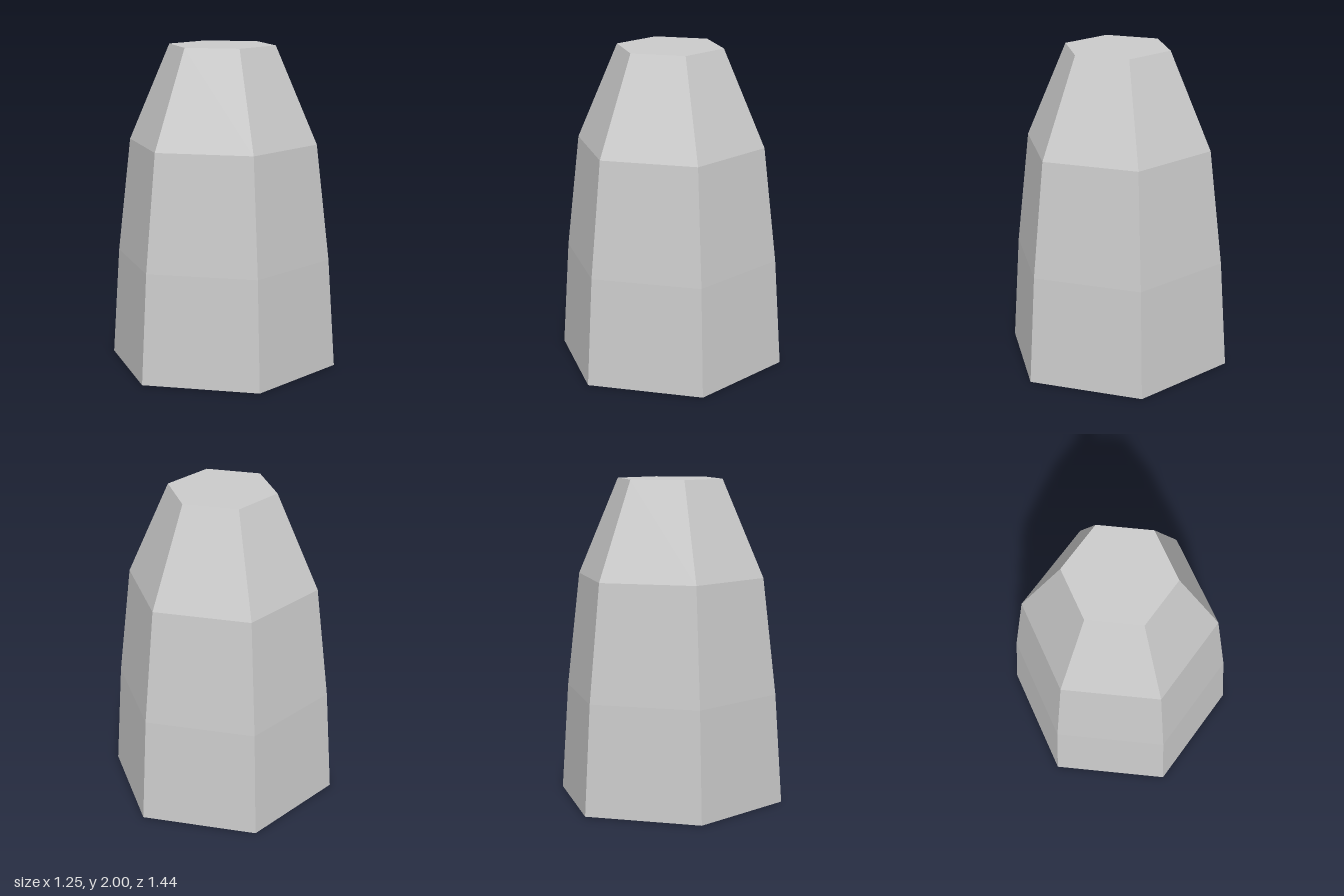
import * as THREE from 'three';

export function createModel() {
  const model = new THREE.Group();
  model.name = 'taperedHexShell';
  const sides = 6;
  const material = new THREE.MeshStandardMaterial({
    color: 0xcccccc, flatShading: true, side: THREE.DoubleSide,
  });

  // Thin hexagonal wall, open at the bottom: [radius, height] rings, corners on the z axis
  const rings = [[0.72, 0], [0.675, 0.68], [0.592, 1.4], [0.333, 2]];
  const profile = rings.map(([r, y]) => new THREE.Vector2(r, y));
  const wall = new THREE.Mesh(new THREE.LatheGeometry(profile, sides), material);
  wall.name = 'wall';
  model.add(wall);

  // Flat hexagonal top
  const [topRadius, topHeight] = rings[rings.length - 1];
  const capGeometry = new THREE.CircleGeometry(topRadius, sides, Math.PI / 2);
  capGeometry.rotateX(-Math.PI / 2);
  const cap = new THREE.Mesh(capGeometry, material);
  cap.name = 'topCap';
  cap.position.y = topHeight;
  model.add(cap);

  return model;
}
